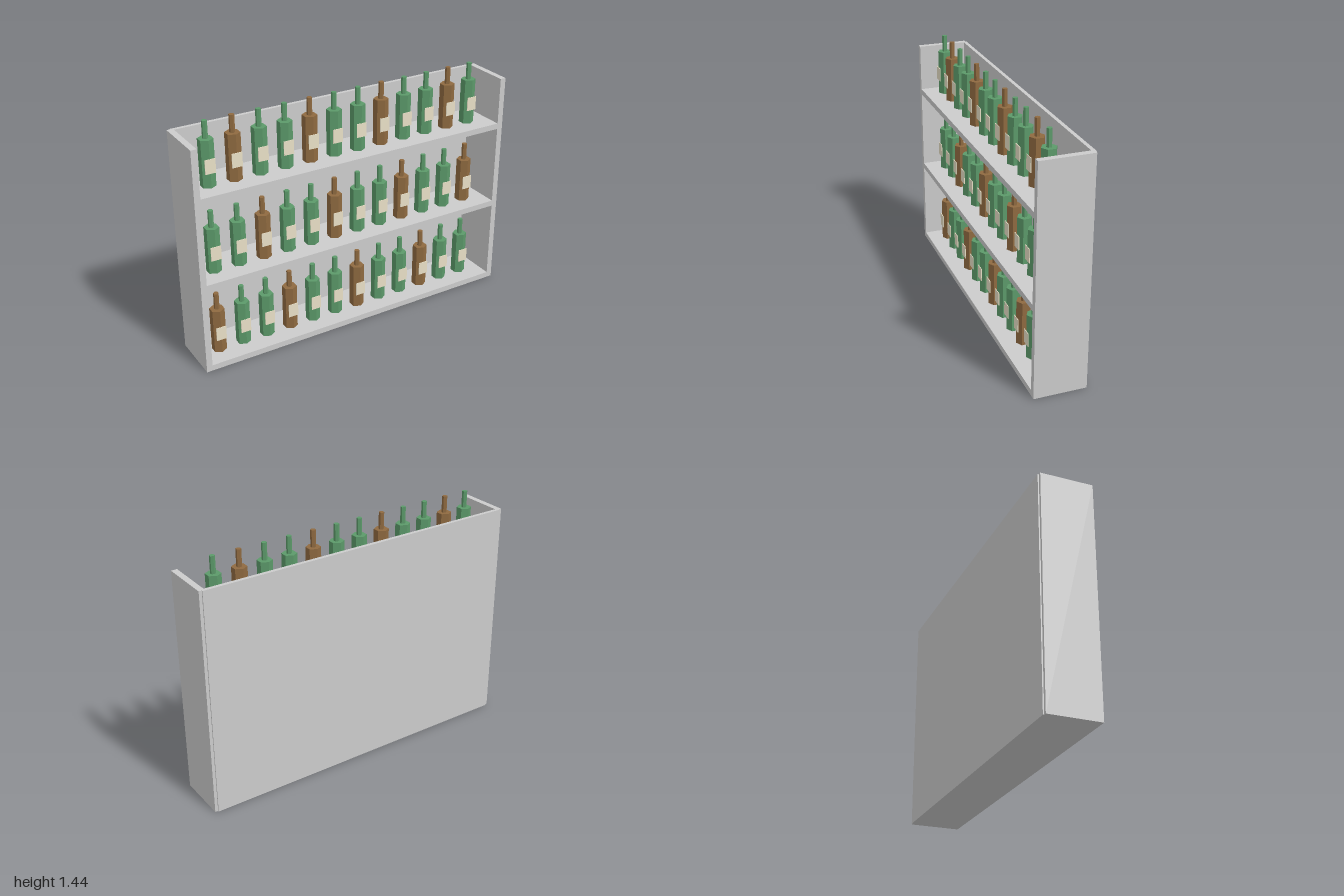
import * as THREE from 'three';

const material = (color) => new THREE.MeshStandardMaterial({ color, flatShading: true });

export function createModel() {
  const model = new THREE.Group();
  model.name = 'bottleShelf';
  const grey = material(0xcccccc);
  const green = material(0x5c9a6a);
  const brown = material(0x8f6a40);
  const cream = material(0xe8dfc6);

  const add = (parent, name, geometry, mat, x, y, z) => {
    const mesh = new THREE.Mesh(geometry, mat);
    mesh.name = name;
    mesh.position.set(x, y, z);
    parent.add(mesh);
  };

  // Cabinet: two sides, an inset back and three shelves
  const height = 1.35;
  const board = 0.035;
  for (const [name, s] of [['leftSide', 1], ['rightSide', -1]]) {
    add(model, name, new THREE.BoxGeometry(board, height, 0.305), grey, s * (1 - board / 2), height / 2, 0.0025);
  }
  add(model, 'backPanel', new THREE.BoxGeometry(1.965, height, 0.022), grey, 0, height / 2, -0.146);
  const shelfGeometry = new THREE.BoxGeometry(2 - 2 * board, board, 0.292);

  // Six-sided bottle parts, with a corner facing the front
  const bodyGeometry = new THREE.CylinderGeometry(0.043, 0.043, 0.27, 6);
  const neckGeometry = new THREE.CylinderGeometry(0.0155, 0.0155, 0.1, 6);
  const labelGeometry = new THREE.BoxGeometry(0.061, 0.082, 0.004);

  for (let row = 0; row < 3; row++) {
    const floor = board + row * 0.517;
    add(model, 'shelf', shelfGeometry, grey, 0, floor - board / 2, 0.009);

    // Twelve bottles per shelf, every third one brown
    for (let i = 0; i < 12; i++) {
      const glass = (i + row) % 3 === 0 ? brown : green;
      const bottle = new THREE.Group();
      bottle.name = 'bottle';
      bottle.position.set(-0.862 + i * 0.1535, floor, 0.025);
      add(bottle, 'bottleBody', bodyGeometry, glass, 0, 0.135, 0);
      add(bottle, 'bottleNeck', neckGeometry, glass, 0, 0.32, 0);
      add(bottle, 'bottleLabel', labelGeometry, cream, 0, 0.126, 0.043);
      model.add(bottle);
    }
  }
  return model;
}
